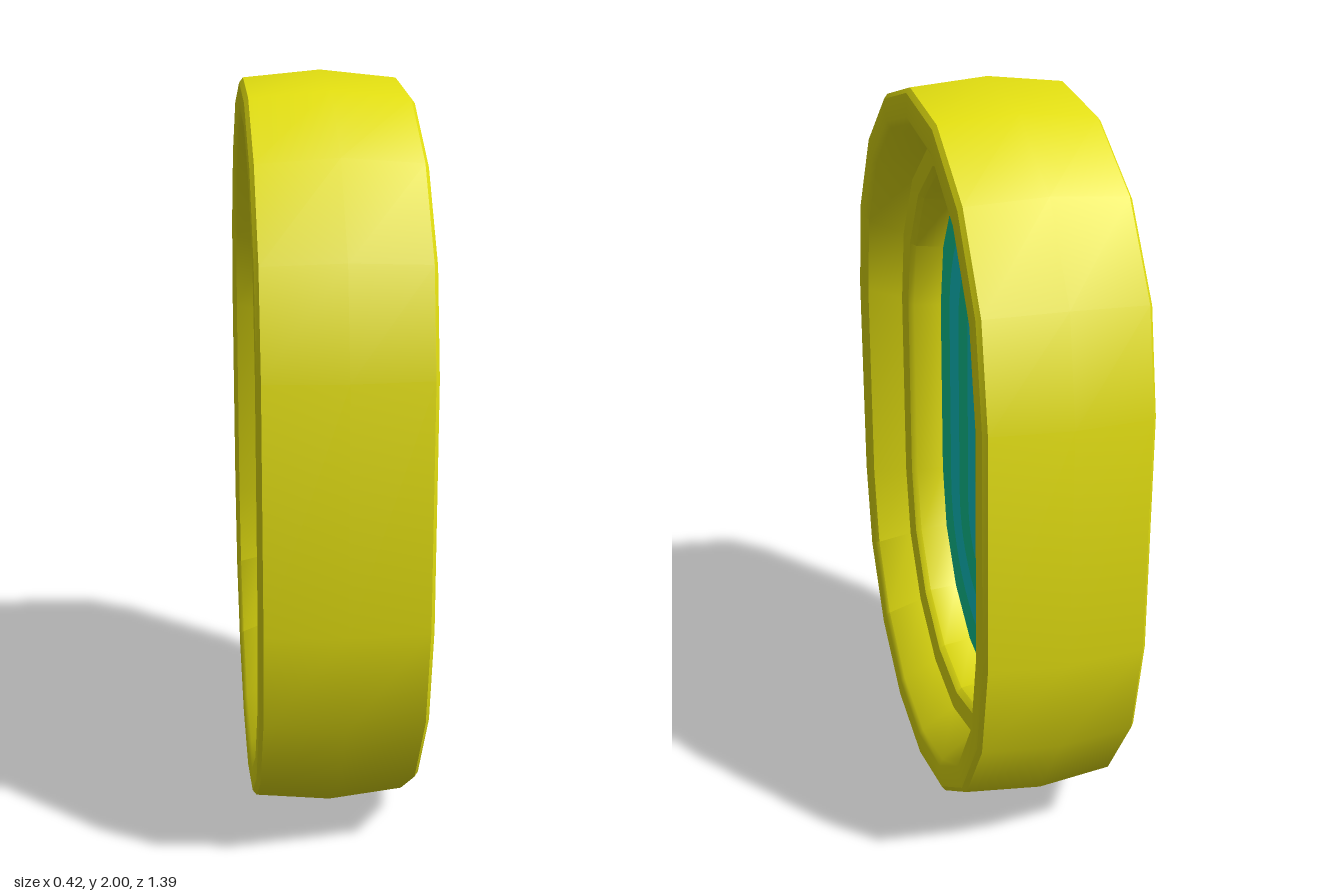
import * as THREE from 'three';
import { toCreasedNormals } from 'three/addons/utils/BufferGeometryUtils.js';

// Stadium outline as (z, y) points: two half circles of radius r, centres at y = +-off
function stadium(r, off, n) {
  const pts = [];
  for (const side of [0, 1]) {
    for (let i = 0; i <= n; i++) {
      const t = -Math.PI / 2 + Math.PI * (side + i / n);
      pts.push(new THREE.Vector2(r * Math.sin(t), r * Math.cos(t) + (side ? -off : off)));
    }
  }
  return pts;
}

// Sweep a closed cross-section of [x, radius, offset] rings around the stadium
function frameGeometry(profile, n) {
  const pos = [], index = [];
  const count = 2 * (n + 1), rings = profile.length;
  for (const [x, r, off] of profile)
    for (const p of stadium(r, off, n)) pos.push(x, p.y, p.x);
  for (let j = 0; j < rings; j++) {
    for (let i = 0; i < count; i++) {
      const i2 = (i + 1) % count, j2 = (j + 1) % rings;
      const a = j * count + i, b = j * count + i2, c = j2 * count + i, d = j2 * count + i2;
      index.push(a, b, c, b, d, c);
    }
  }
  const geo = new THREE.BufferGeometry();
  geo.setAttribute('position', new THREE.Float32BufferAttribute(pos, 3));
  geo.setIndex(index);
  return toCreasedNormals(geo, 0.6);
}

export function createModel() {
  const yellow = new THREE.MeshStandardMaterial({ color: 0xe2de10 });
  const green = new THREE.MeshStandardMaterial({ color: 0x10cc99, side: THREE.DoubleSide });
  const cyan = new THREE.MeshStandardMaterial({ color: 0x10cccc, side: THREE.DoubleSide });
  yellow.name = 'yellow';
  green.name = 'green';
  cyan.name = 'cyan';

  const group = new THREE.Group();
  group.name = 'ovalPortal';

  // Thick frame: crowned outside, flat rim, sloped recess, small step, inner wall
  const half = [
    [0.2, 0.675, 0.305],
    [0.21, 0.662, 0.305],
    [0.21, 0.608, 0.3],
    [0.2, 0.59, 0.3],
    [0.105, 0.55, 0.28],
    [0.095, 0.512, 0.27],
    [0.08, 0.5, 0.268],
  ];
  const mirrored = half.map(([x, r, off]) => [-x, r, off]).reverse();
  const profile = [[0, 0.695, 0.305], ...half, [0, 0.49, 0.265], ...mirrored];
  const frame = new THREE.Mesh(frameGeometry(profile, 8), yellow);
  frame.name = 'frame';
  frame.position.y = 1;
  group.add(frame);

  // Thin centre panel of nested colour bands
  const panel = new THREE.Group();
  panel.name = 'panel';
  panel.position.y = 1;
  panel.rotation.y = Math.PI / 2;
  const edges = [[0.492, 0.265, 8], [0.39, 0.263, 24], [0.293, 0.262, 24], [0.198, 0.257, 24], [0.122, 0.257, 24]];
  edges.forEach((edge, i) => {
    const shape = new THREE.Shape(stadium(...edge));
    if (edges[i + 1]) shape.holes.push(new THREE.Path(stadium(...edges[i + 1])));
    const band = new THREE.Mesh(new THREE.ShapeGeometry(shape), i % 2 ? cyan : green);
    band.name = 'panelBand' + (i + 1);
    panel.add(band);
  });
  group.add(panel);
  return group;
}
